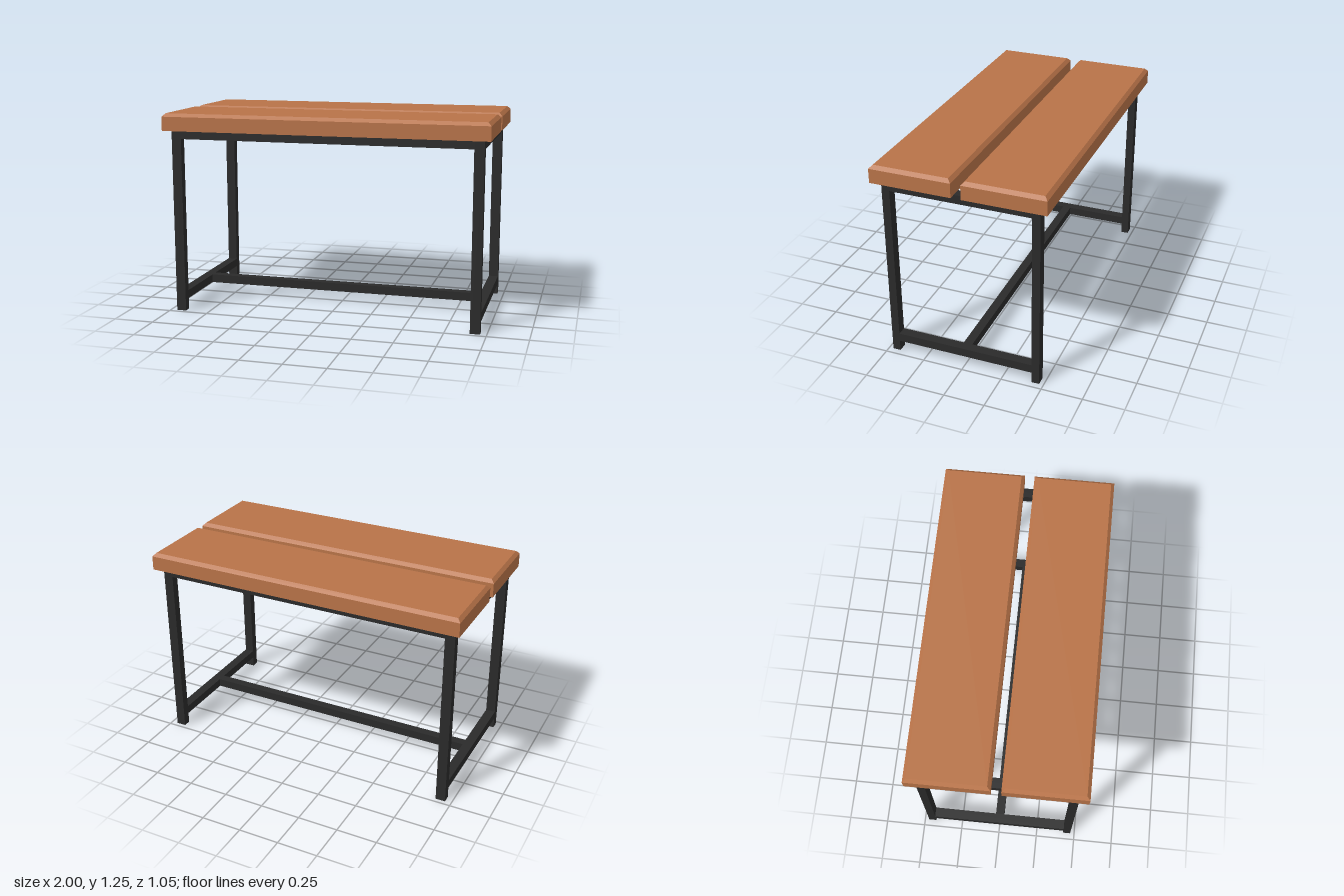
import * as THREE from 'three';

const wood = new THREE.MeshStandardMaterial({ color: 0xb87348, flatShading: true });
const metal = new THREE.MeshStandardMaterial({ color: 0x2a2a2a, flatShading: true });

// Board standing on y = 0 with its top edges chamfered
function plankGeometry(length, height, width, bevel) {
  const geo = new THREE.BoxGeometry(length, height, width, 1, 2, 1);
  const p = geo.attributes.position;
  for (let i = 0; i < p.count; i++) {
    const y = p.getY(i);
    if (y > 0.001) {
      p.setX(i, p.getX(i) - Math.sign(p.getX(i)) * bevel);
      p.setZ(i, p.getZ(i) - Math.sign(p.getZ(i)) * bevel);
      p.setY(i, height);
    } else {
      p.setY(i, y < -0.001 ? 0 : height - bevel);
    }
  }
  const flat = geo.toNonIndexed();
  flat.computeVertexNormals();
  return flat;
}

export function createModel() {
  const model = new THREE.Group();
  model.name = 'bench';

  const add = (name, geometry, material, x, y, z) => {
    const mesh = new THREE.Mesh(geometry, material);
    mesh.name = name;
    mesh.position.set(x, y, z);
    model.add(mesh);
  };
  const bar = (name, w, h, d, x, y, z) =>
    add(name, new THREE.BoxGeometry(w, h, d), metal, x, y, z);

  const frameTop = 1.145, legX = 0.93, legZ = 0.449;
  const legW = 0.06, legD = 0.048, railH = 0.053;
  const innerX = 2 * legX - legW, innerZ = 2 * legZ - legD;
  const topRailY = frameTop - railH / 2, lowRailY = 0.095;

  // Two seat boards with a gap between them
  for (const s of [-1, 1]) {
    add(s > 0 ? 'frontPlank' : 'backPlank', plankGeometry(2, 0.107, 0.495, 0.02), wood, 0, frameTop, s * 0.2775);
  }

  // Legs and long rails under the boards
  for (const sz of [-1, 1]) {
    const side = sz > 0 ? 'front' : 'back';
    for (const sx of [-1, 1]) {
      bar(side + (sx > 0 ? 'LeftLeg' : 'RightLeg'), legW, frameTop, legD, sx * legX, frameTop / 2, sz * legZ);
    }
    bar(side + 'TopRail', innerX, railH, legD, 0, topRailY, sz * legZ);
  }

  // End rails, top and bottom
  for (const sx of [-1, 1]) {
    const side = sx > 0 ? 'left' : 'right';
    bar(side + 'TopRail', legW, railH, innerZ, sx * legX, topRailY, 0);
    bar(side + 'LowerRail', legW, railH, innerZ, sx * legX, lowRailY, 0);
  }

  // Stretcher joining the lower rails
  bar('stretcher', innerX, railH, 0.055, 0, lowRailY, 0);

  return model;
}
